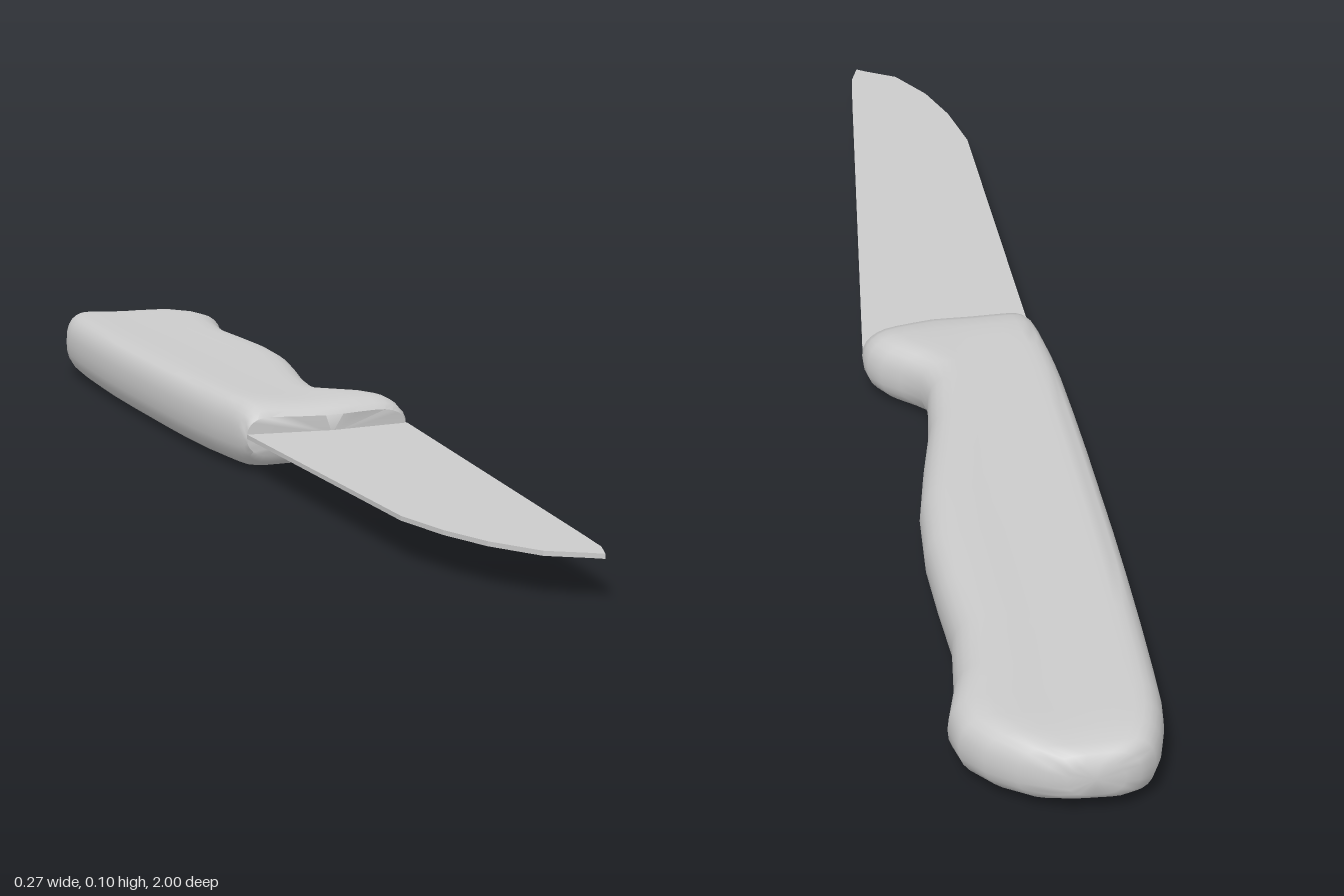
import * as THREE from 'three';
import { toCreasedNormals } from 'three/addons/utils/BufferGeometryUtils.js';

const material = () => new THREE.MeshStandardMaterial({ color: 0xcccccc, roughness: 0.6 });

// Handle stations from butt to guard: z, xMin, xMax, yMin, yMax
const STATIONS = [
  [-1.0, -0.06, 0.01, 0.032, 0.078],
  [-0.992, -0.08, 0.035, 0.022, 0.088],
  [-0.975, -0.1, 0.065, 0.014, 0.093],
  [-0.945, -0.113, 0.1, 0.009, 0.096],
  [-0.91, -0.122, 0.125, 0.006, 0.096],
  [-0.87, -0.127, 0.133, 0.004, 0.096],
  [-0.8, -0.13, 0.116, 0.002, 0.096],
  [-0.7, -0.133, 0.105, 0.001, 0.096],
  [-0.6, -0.135, 0.11, 0, 0.096],
  [-0.5, -0.136, 0.113, 0, 0.096],
  [-0.4, -0.136, 0.107, 0, 0.096],
  [-0.3, -0.136, 0.09, 0, 0.096],
  [-0.2, -0.135, 0.07, 0, 0.096],
  [-0.1, -0.133, 0.058, 0.001, 0.096],
  [-0.06, -0.131, 0.064, 0.002, 0.096],
  [-0.03, -0.129, 0.088, 0.002, 0.096],
  [0, -0.126, 0.113, 0.002, 0.096],
  [0.035, -0.123, 0.129, 0.003, 0.095],
  [0.06, -0.12, 0.133, 0.006, 0.092],
  [0.077, -0.117, 0.133, 0.013, 0.086],
  [0.085, -0.114, 0.13, 0.023, 0.078],
];

// One cross-section: a pillow with elliptical ends and slightly hollow broad faces
function section([z, x0, x1, y0, y1]) {
  const w = x1 - x0, cy = (y0 + y1) / 2, h = (y1 - y0) / 2;
  const rRight = Math.min(0.05, w * 0.45), rLeft = Math.min(0.036, w * 0.45);
  const sweep = 0.27 * THREE.MathUtils.smoothstep(z, -0.08, 0.08);
  const points = [];
  const add = (x, s) => {
    const hollow = 1 - 0.06 * Math.exp(-(((x + 0.01) / 0.05) ** 2));
    points.push([x, cy + h * s * hollow, z - sweep * Math.max(0, x - 0.02)]);
  };
  const end = (cx, r, start) => {
    for (let i = 0; i <= 12; i++) {
      const a = start + (Math.PI * i) / 12, s = Math.sin(a);
      // squarer than an ellipse
      add(cx + r * Math.sign(Math.cos(a)) * Math.abs(Math.cos(a)) ** 0.85, Math.sign(s) * Math.abs(s) ** 0.85);
    }
  };
  const xr = x1 - rRight, xl = x0 + rLeft;
  end(xr, rRight, -Math.PI / 2);
  for (let i = 1; i < 6; i++) add(xr + ((xl - xr) * i) / 6, 1);
  end(xl, rLeft, Math.PI / 2);
  for (let i = 1; i < 6; i++) add(xl + ((xr - xl) * i) / 6, -1);
  return points;
}

function handleGeometry() {
  const loops = STATIONS.map(section), n = loops[0].length;
  const positions = loops.flat(2), index = [];
  for (let i = 0; i < loops.length - 1; i++) {
    for (let j = 0; j < n; j++) {
      const k = (j + 1) % n, a = i * n + j, b = i * n + k;
      index.push(a, b, b + n, a, b + n, a + n);
    }
  }
  // closing fans at the butt and the guard
  const cap = (row, centre, front) => {
    const c = positions.length / 3;
    positions.push(...centre);
    for (let j = 0; j < n; j++) {
      const a = row * n + j, b = row * n + ((j + 1) % n);
      index.push(c, front ? a : b, front ? b : a);
    }
  };
  cap(0, [-0.025, 0.055, -1], false);
  cap(loops.length - 1, [0.01, 0.05, 0.085], true);
  const geometry = new THREE.BufferGeometry();
  geometry.setAttribute('position', new THREE.Float32BufferAttribute(positions, 3));
  geometry.setIndex(index);
  return toCreasedNormals(geometry, 0.8);
}

function bladeGeometry() {
  // plan outline: x, z
  const outline = [
    [-0.114, 0.04], [0.129, 0.03], [0.131, 0.06], [0.056, 0.88], [0.048, 0.96], [0.036, 1],
    [0.022, 0.99], [-0.025, 0.962], [-0.066, 0.89], [-0.092, 0.81], [-0.11, 0.71],
  ].map(([x, z]) => new THREE.Vector2(x, z));
  return new THREE.ExtrudeGeometry(new THREE.Shape(outline), { depth: 0.006, bevelEnabled: false })
    .rotateX(Math.PI / 2)
    .translate(0, 0.055, 0);
}

export function createModel() {
  const group = new THREE.Group();
  group.name = 'knife';
  const parts = { handle: handleGeometry(), blade: bladeGeometry() };
  for (const [name, geometry] of Object.entries(parts)) {
    const mesh = new THREE.Mesh(geometry, material());
    mesh.name = name;
    group.add(mesh);
  }
  return group;
}
